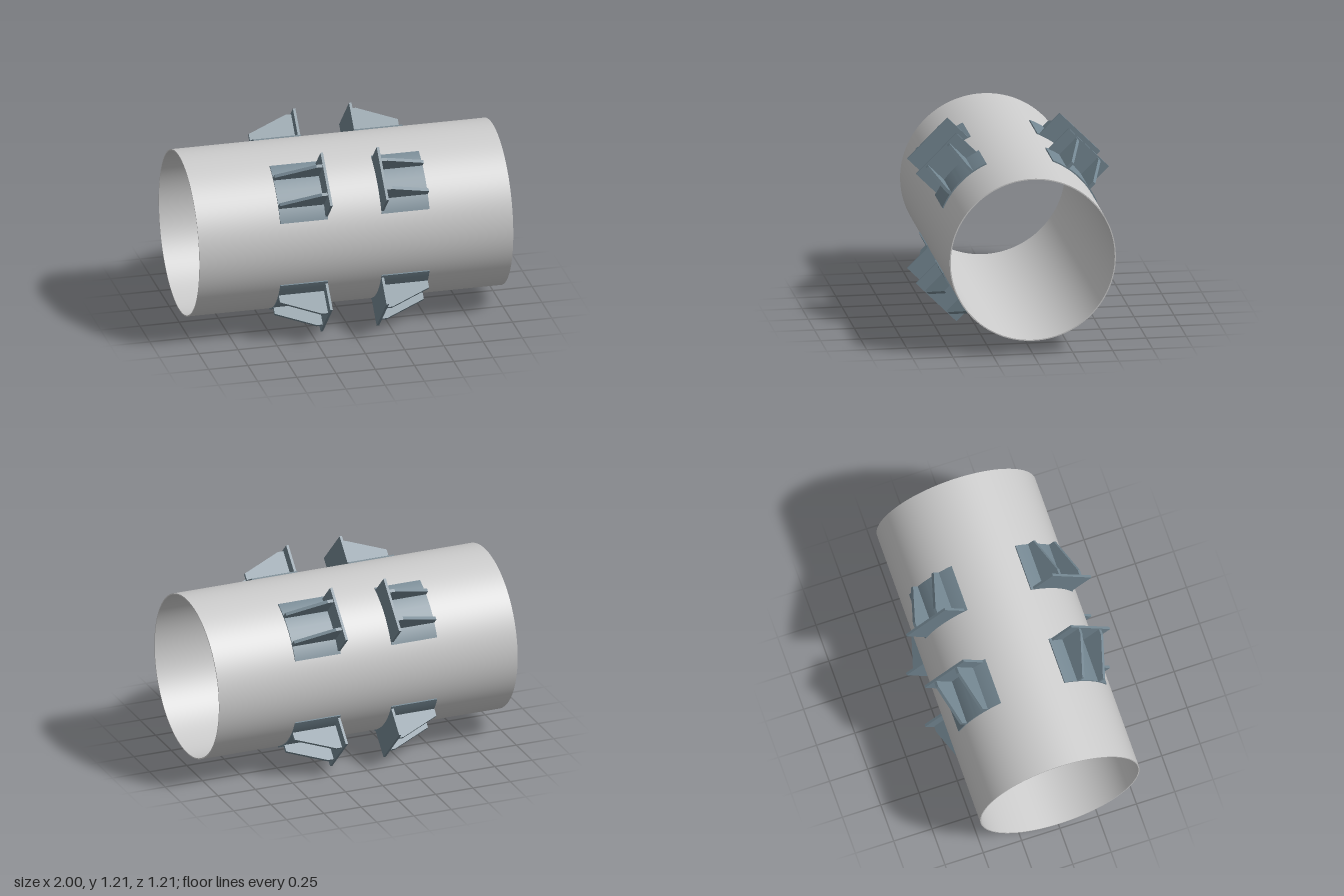
import * as THREE from 'three';
import { toCreasedNormals } from 'three/addons/utils/BufferGeometryUtils.js';

const CENTER_Y = 0.604;
const R_IN = 0.513, R_OUT = 0.52, R_PAD = 0.528;
const X_IN = 0.171, X_PLATE = 0.187, X_OUT = 0.475;

// Extrudes a cross-section drawn in the plane across the pipe from x0 to x1
function extrudeAlongX(shape, x0, x1, curveSegments) {
  const geo = new THREE.ExtrudeGeometry(shape, { depth: x1 - x0, bevelEnabled: false, curveSegments });
  geo.rotateY(Math.PI / 2);
  geo.translate(x0, 0, 0);
  return toCreasedNormals(geo, 0.5);
}

function pipeGeometry() {
  const ring = new THREE.Shape().absarc(0, 0, R_OUT, 0, Math.PI * 2, false);
  ring.holes.push(new THREE.Path().absarc(0, 0, R_IN, 0, Math.PI * 2, true));
  return extrudeAlongX(ring, -1, 1, 96);
}

// Curved pad lying on the pipe
function padGeometry() {
  const half = 0.378, mid = Math.PI / 2;
  const s = new THREE.Shape();
  s.absarc(0, 0, R_PAD, mid - half, mid + half, false);
  s.absarc(0, 0, R_OUT - 0.002, mid + half, mid - half, true);
  s.closePath();
  return extrudeAlongX(s, X_IN, X_OUT, 20);
}

// Upright plate with its lower edge cut to the curve of the pad
function plateGeometry() {
  const w = 0.178, top = 0.675, r = R_PAD - 0.001;
  const a = Math.acos(w / r);
  const s = new THREE.Shape();
  s.moveTo(w, top);
  s.lineTo(-w, top);
  s.lineTo(-w, r * Math.sin(a));
  s.absarc(0, 0, r, Math.PI - a, a, true);
  s.closePath();
  return extrudeAlongX(s, X_IN, X_PLATE, 20);
}

// Tapered stiffening rib, drawn along the pipe
function ribGeometry() {
  const base = 0.514, thick = 0.02;
  const s = new THREE.Shape([
    [X_PLATE - 0.002, base], [X_OUT, base], [X_OUT, 0.564], [0.225, 0.666], [X_PLATE - 0.002, 0.666],
  ].map(([x, y]) => new THREE.Vector2(x, y)));
  const geo = new THREE.ExtrudeGeometry(s, { depth: thick, bevelEnabled: false });
  geo.translate(0, 0, -thick / 2);
  return geo;
}

export function createModel() {
  const model = new THREE.Group();
  model.name = 'pipeWithBrackets';
  const grey = new THREE.MeshStandardMaterial({ color: 0xcccccc });
  const blue = new THREE.MeshStandardMaterial({ color: 0x738691 });

  const add = (parent, name, geo, mat) => {
    const mesh = new THREE.Mesh(geo, mat);
    mesh.name = name;
    parent.add(mesh);
    return mesh;
  };

  add(model, 'pipe', pipeGeometry(), grey).position.y = CENTER_Y;

  // Four brackets around the pipe, facing each other in pairs
  const pad = padGeometry(), plate = plateGeometry(), rib = ribGeometry();
  for (let i = 0; i < 4; i++) {
    const pair = new THREE.Group();
    pair.name = 'bracketPair' + (i + 1);
    pair.position.y = CENTER_Y;
    pair.rotation.x = Math.PI / 4 + i * Math.PI / 2;
    for (const side of [0, 1]) {
      const bracket = new THREE.Group();
      bracket.name = side ? 'rightBracket' : 'leftBracket';
      bracket.rotation.y = side * Math.PI;
      add(bracket, 'pad', pad, blue);
      add(bracket, 'plate', plate, blue);
      for (const t of [-0.095, 0.095]) add(bracket, 'rib', rib, blue).position.z = t;
      pair.add(bracket);
    }
    model.add(pair);
  }
  return model;
}
